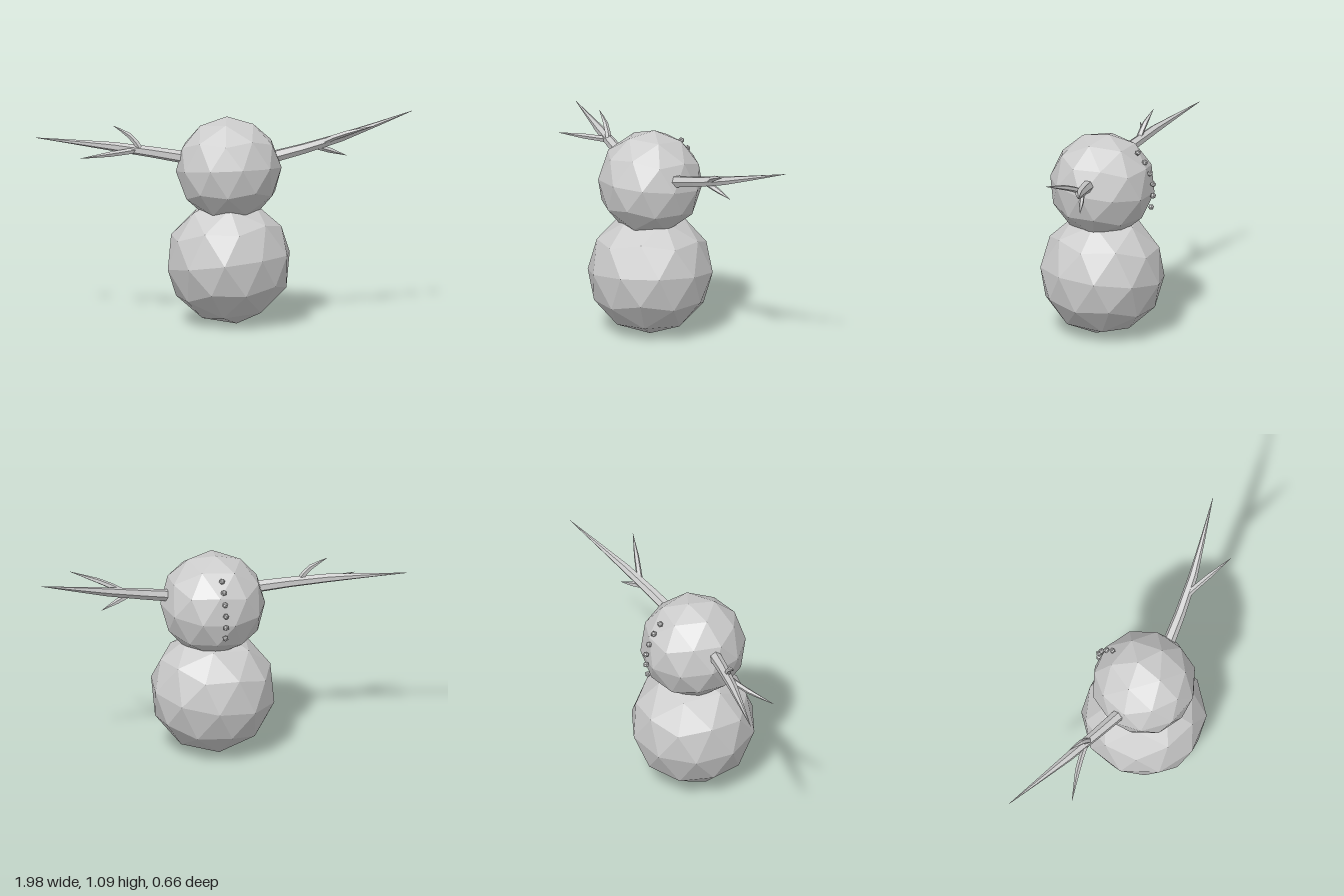
import * as THREE from 'three';

const material = new THREE.MeshStandardMaterial({ color: 0xcccccc, flatShading: true });
const V = (p) => new THREE.Vector3(...p);

// Faceted ball with a vertex close to its top and bottom
function ball(name, r, pos, tiltX, spin, tiltZ, detail = 1) {
  const geo = new THREE.IcosahedronGeometry(r, detail);
  geo.rotateZ(0.5536).rotateY(spin).rotateX(tiltX).rotateZ(tiltZ);
  const mesh = new THREE.Mesh(geo, material);
  mesh.name = name;
  mesh.position.set(...pos);
  return mesh;
}

// Low-poly branch tapering to a point along a bent path
function branch(name, points, radii, sides = 6) {
  const curve = new THREE.CatmullRomCurve3(points.map(V));
  const steps = 4;
  const geo = new THREE.TubeGeometry(curve, steps, 1, sides, false);
  const pos = geo.attributes.position;
  const p = new THREE.Vector3();
  for (let i = 0; i <= steps; i++) {
    const t = i / steps;
    const c = curve.getPointAt(t);
    const r = t < 0.5
      ? THREE.MathUtils.lerp(radii[0], radii[1], t * 2)
      : THREE.MathUtils.lerp(radii[1], 0.001, t * 2 - 1);
    for (let j = 0; j <= sides; j++) {
      const k = i * (sides + 1) + j;
      p.fromBufferAttribute(pos, k).sub(c).multiplyScalar(r).add(c);
      pos.setXYZ(k, p.x, p.y, p.z);
    }
  }
  const mesh = new THREE.Mesh(geo, material);
  mesh.name = name;
  return mesh;
}

// Arm made of a main branch and two twigs
function arm(name, main, longTwig, shortTwig) {
  const group = new THREE.Group();
  group.name = name;
  group.add(
    branch('mainBranch', main, [0.034, 0.024]),
    branch('longTwig', longTwig, [0.017, 0.014], 5),
    branch('shortTwig', shortTwig, [0.017, 0.014], 5),
  );
  return group;
}

export function createModel() {
  const model = new THREE.Group();
  model.name = 'snowBody';

  // Stacked snowballs
  model.add(
    ball('lowerSnowball', 0.333, [0.01, 0.333, 0], -0.08, 0.5, 0.12),
    ball('upperSnowball', 0.278, [0.01, 0.82, 0], -0.12, 0.2, 0.03),
  );

  // Stick arms, the right one being turned over about its length
  model.add(
    arm('leftArm',
      [[0.2, 0.875, 0.01], [0.55, 0.955, -0.06], [0.99, 1.085, -0.2]],
      [[0.5, 0.945, -0.05], [0.59, 0.99, -0.015], [0.77, 1.05, 0.055]],
      [[0.46, 0.935, -0.04], [0.545, 0.905, -0.065], [0.635, 0.872, -0.088]]),
    arm('rightArm',
      [[-0.19, 0.883, 0.01], [-0.53, 0.928, -0.07], [-0.99, 0.967, -0.2]],
      [[-0.46, 0.92, -0.055], [-0.59, 0.907, -0.02], [-0.775, 0.896, 0.055]],
      [[-0.45, 0.92, -0.045], [-0.495, 0.985, -0.06], [-0.59, 1.045, -0.08]]),
  );

  // Row of pebbles down the back of the upper ball
  const pebbles = new THREE.Group();
  pebbles.name = 'pebbles';
  [[1.015, -0.197], [0.965, -0.235], [0.907, -0.264], [0.849, -0.281], [0.785, -0.281], [0.722, -0.27]]
    .forEach(([y, z], i) => pebbles.add(ball('pebble', 0.0165, [0.01, y, z], i, i * 0.7, 0.3, 0)));
  model.add(pebbles);

  return model;
}
